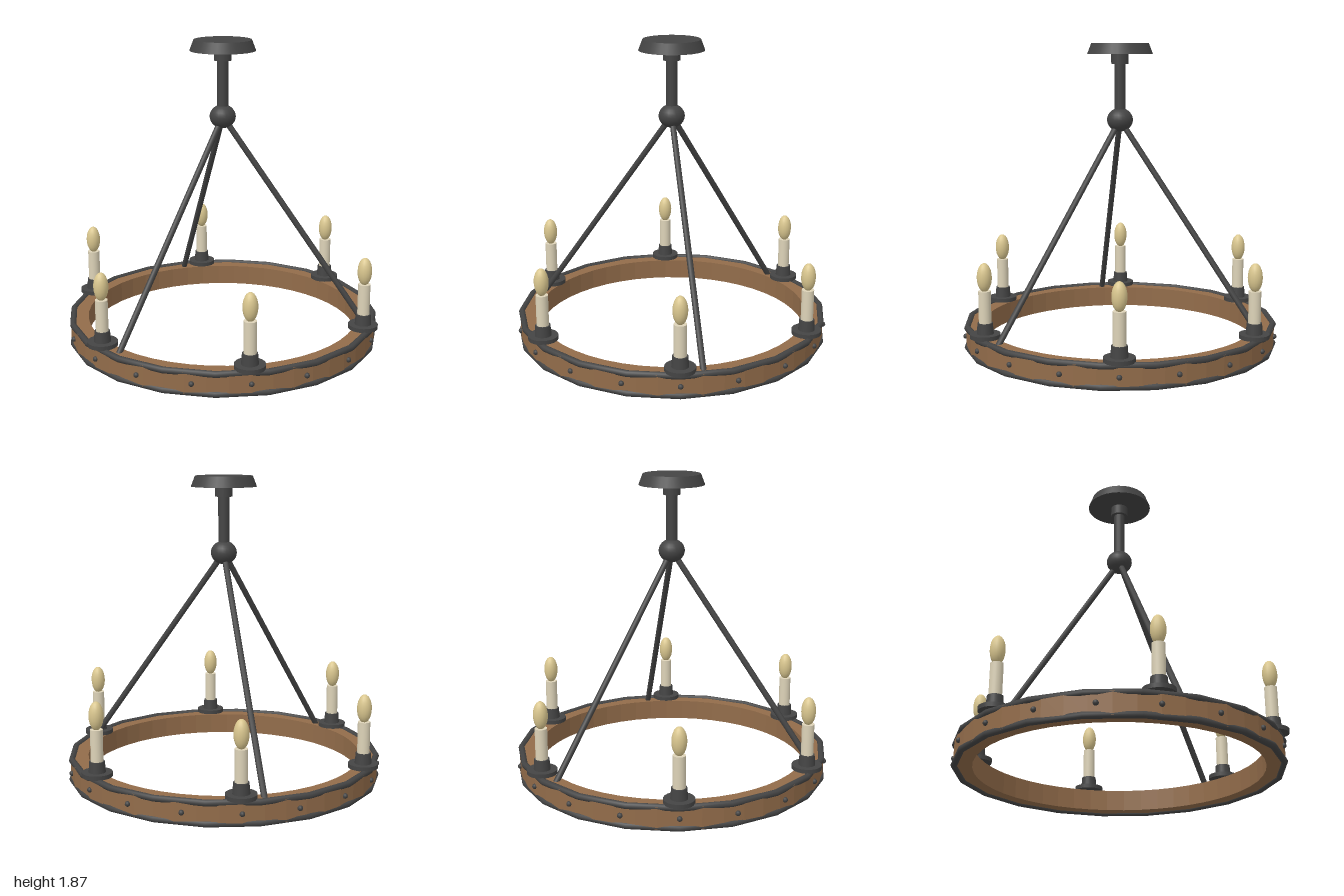
import * as THREE from 'three';

const mat = (name, color, extra = {}) => Object.assign(new THREE.MeshStandardMaterial({ color, ...extra }), { name });

export function createModel() {
  const iron = mat('dark iron', 0x444444);
  const oak = mat('oak wood', 0x926c4a);
  const wax = mat('candle wax', 0xddd3b8);
  const glow = mat('bulb glass', 0xdac78f);

  const model = new THREE.Group();
  model.name = 'ringChandelier';

  const add = (name, geometry, material, x = 0, y = 0, z = 0, parent = model) => {
    const mesh = new THREE.Mesh(geometry, material);
    mesh.name = name;
    mesh.position.set(x, y, z);
    parent.add(mesh);
    return mesh;
  };
  // Upright cylinder given by its bottom and top heights
  const post = (name, rTop, rBottom, y0, y1, material, parent, sides = 24) =>
    add(name, new THREE.CylinderGeometry(rTop, rBottom, y1 - y0, sides), material, 0, (y0 + y1) / 2, 0, parent);

  // Wooden ring with a square section
  const hoop = new THREE.Shape().absarc(0, 0, 0.96, 0, Math.PI * 2, false);
  hoop.holes.push(new THREE.Path().absarc(0, 0, 0.85, 0, Math.PI * 2, true));
  const hoopGeo = new THREE.ExtrudeGeometry(hoop, { depth: 0.13, bevelEnabled: false, curveSegments: 24 });
  hoopGeo.rotateX(-Math.PI / 2);
  add('woodRing', hoopGeo, oak, 0, 0.015, 0);

  // Faceted iron bands along the two outer edges
  const bandGeo = new THREE.TorusGeometry(0.953, 0.02, 8, 20).rotateX(Math.PI / 2);
  add('lowerBand', bandGeo, iron, 0, 0.02, 0);
  add('upperBand', bandGeo, iron, 0, 0.14, 0);

  // Rivets round the outside
  const rivetGeo = new THREE.SphereGeometry(0.016, 10, 8);
  for (let i = 0; i < 18; i++) {
    const a = (i / 18) * Math.PI * 2;
    add('rivet', rivetGeo, iron, 0.962 * Math.cos(a), 0.08, 0.962 * Math.sin(a));
  }

  // Six candle lights
  for (let i = 0; i < 6; i++) {
    const a = (i / 6) * Math.PI * 2;
    const light = new THREE.Group();
    light.name = 'candleLight';
    light.position.set(0.91 * Math.cos(a), 0, 0.91 * Math.sin(a));
    model.add(light);
    post('dripPlate', 0.09, 0.09, 0.155, 0.18, iron, light);
    post('candleCup', 0.045, 0.05, 0.18, 0.245, iron, light);
    post('candle', 0.037, 0.037, 0.24, 0.435, wax, light);
    add('bulb', new THREE.SphereGeometry(0.044, 16, 12), glow, 0, 0.515, 0, light).scale.y = 1.95;
  }

  // Three slanting rods from the hub to the ring
  const up = new THREE.Vector3(0, 1, 0);
  const hub = new THREE.Vector3(0, 1.4, 0);
  for (const degrees of [-8.5, 111.5, 231.5]) {
    const a = THREE.MathUtils.degToRad(degrees);
    const foot = new THREE.Vector3(0.9 * Math.cos(a), 0.13, 0.9 * Math.sin(a));
    const span = hub.clone().sub(foot);
    const rod = add('supportRod', new THREE.CylinderGeometry(0.018, 0.018, span.length(), 10), iron);
    rod.position.copy(foot).addScaledVector(span, 0.5);
    rod.quaternion.setFromUnitVectors(up, span.normalize());
  }

  // Hub ball, stem, collar and ceiling canopy
  add('hubBall', new THREE.SphereGeometry(0.08, 20, 14), iron, 0, 1.4, 0).scale.y = 0.9;
  post('stem', 0.034, 0.034, 1.42, 1.8, iron, model, 16);
  post('collar', 0.053, 0.053, 1.74, 1.8, iron, model);
  post('canopy', 0.175, 0.2, 1.8, 1.865, iron, model, 32);

  return model;
}
